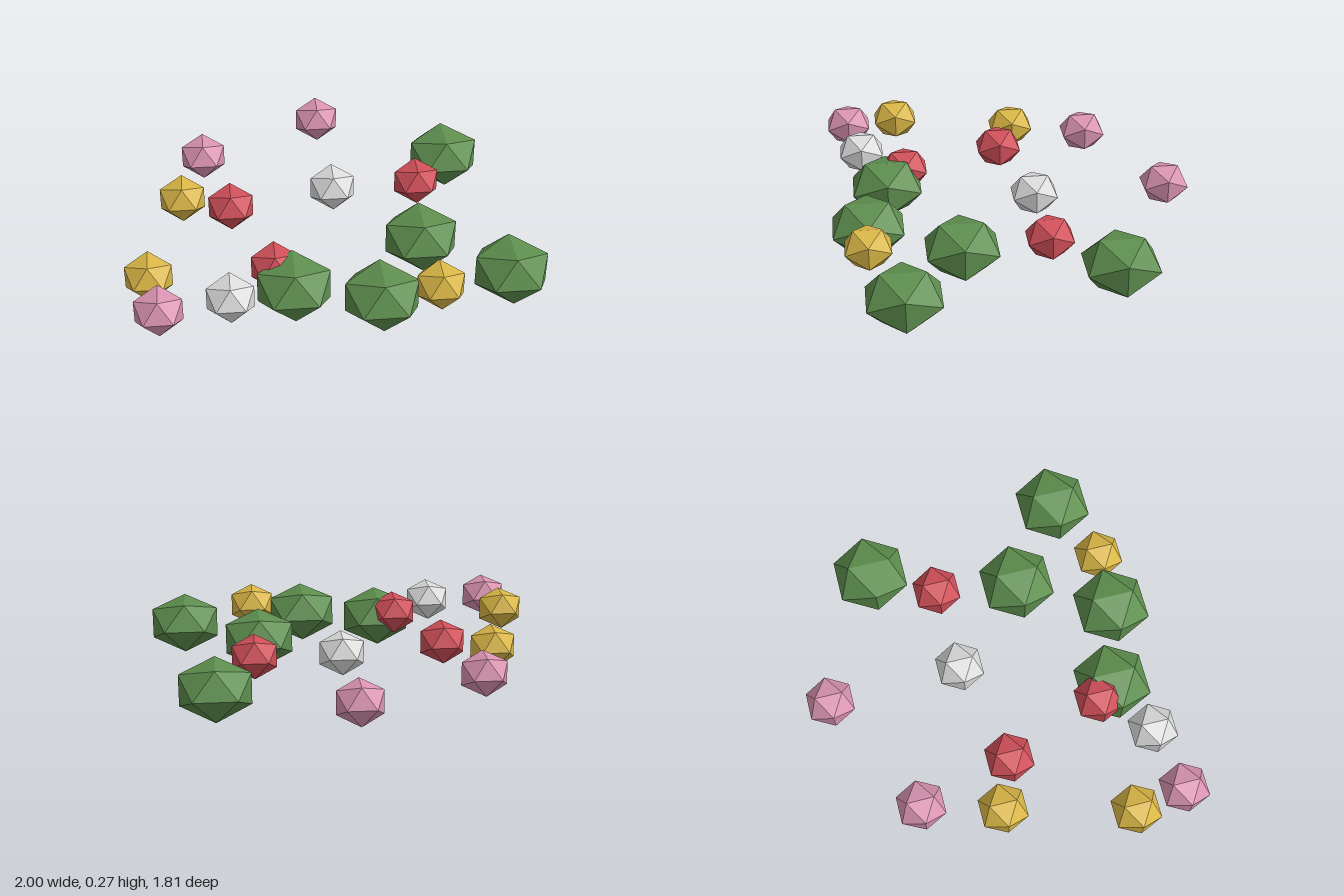
import * as THREE from 'three';

const mat = (name, color) => {
  const m = new THREE.MeshStandardMaterial({ color, flatShading: true });
  m.name = name;
  return m;
};

// Squashed icosahedron with its top ridge running along z
const blob = (radius, squash) =>
  new THREE.IcosahedronGeometry(radius, 0).rotateY(Math.PI / 2).scale(1, squash, 1);

export function createModel() {
  const group = new THREE.Group();
  group.name = 'flowerBed';

  const bushGeometry = blob(0.203, 0.745);
  const flowerGeometry = blob(0.13, 0.855);

  // Each kind: name, geometry, height of centre, material, [x, z] spots
  const kinds = [
    ['bush', bushGeometry, 0.129, mat('leaf green', 0x5d8e4e),
      [[0.666, -0.449], [0.436, 0.278], [0.827, 0.577], [0.188, 0.717], [-0.214, 0.607]]],
    ['pinkFlower', flowerGeometry, 0.177, mat('petal pink', 0xd993b0),
      [[0.014, -0.795], [-0.614, -0.478], [-0.843, 0.789]]],
    ['yellowFlower', flowerGeometry, 0.177, mat('petal yellow', 0xd9b646),
      [[-0.727, -0.095], [-0.89, 0.531], [0.461, 0.723]]],
    ['redFlower', flowerGeometry, 0.177, mat('petal red', 0xd04f59),
      [[-0.486, -0.001], [0.472, -0.14], [-0.298, 0.509]]],
    ['whiteFlower', flowerGeometry, 0.177, mat('petal white', 0xdcdcdc),
      [[0.038, -0.124], [-0.515, 0.727]]],
  ];

  for (const [name, geometry, y, material, spots] of kinds) {
    spots.forEach(([x, z], i) => {
      const mesh = new THREE.Mesh(geometry, material);
      mesh.name = `${name}${i + 1}`;
      mesh.position.set(x, y, z);
      group.add(mesh);
    });
  }
  return group;
}
